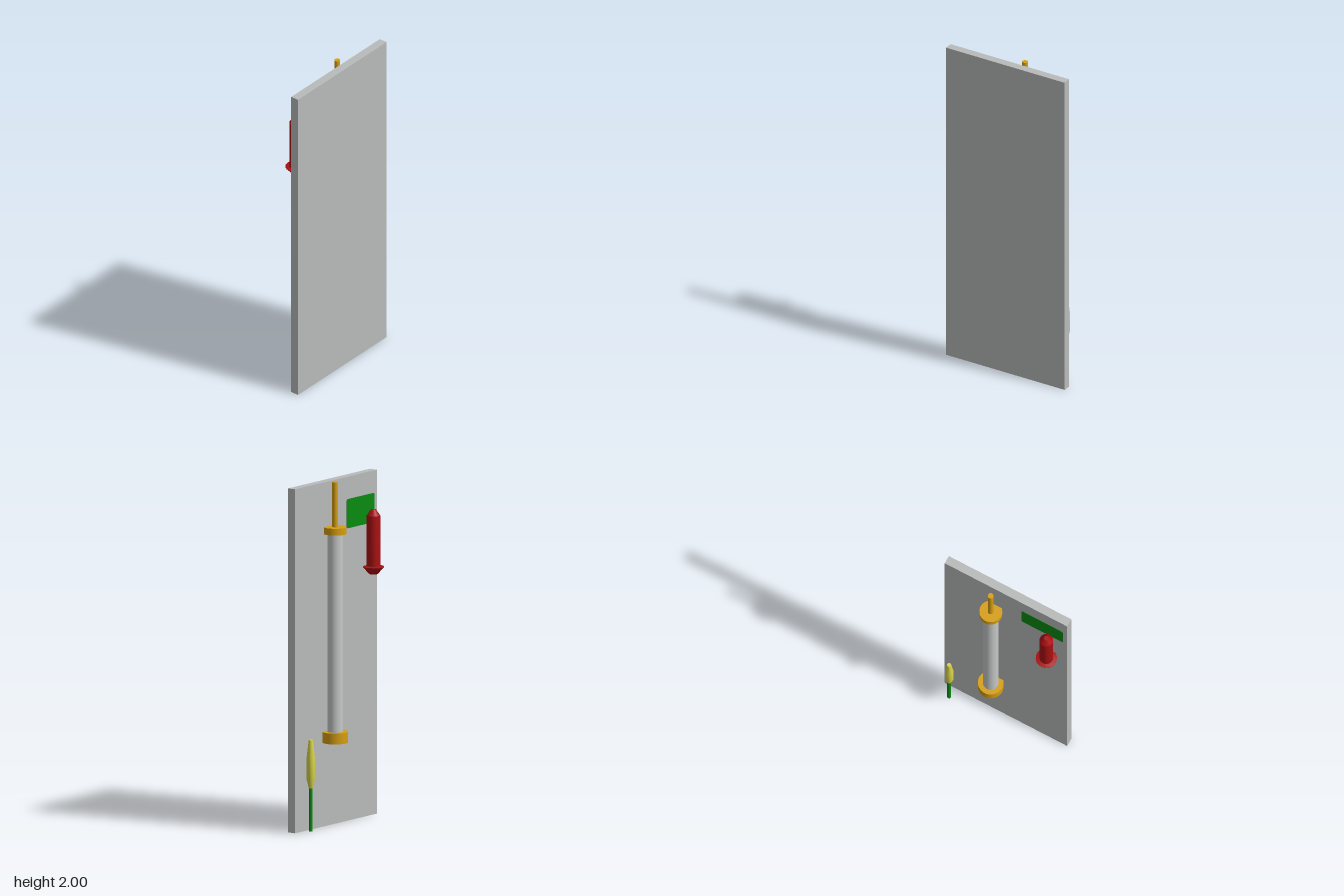
import * as THREE from 'three';
import { toCreasedNormals } from 'three/addons/utils/BufferGeometryUtils.js';

const paint = (name, color) => {
  const m = new THREE.MeshStandardMaterial({ color });
  m.name = name;
  return m;
};

export function createModel() {
  const model = new THREE.Group();
  const boardGrey = paint('board grey', 0xb9bbba);
  const tubeGrey = paint('tube grey', 0xc6c8c8);
  const gold = paint('gold', 0xd69e12);
  const red = paint('red', 0xaa1012);
  const yellow = paint('yellow', 0xd6d248);
  const green = paint('green', 0x0a8a12);

  const add = (parent, name, geometry, material, x = 0, y = 0, z = 0) => {
    const mesh = new THREE.Mesh(geometry, material);
    mesh.name = name;
    mesh.position.set(x, y, z);
    parent.add(mesh);
    return mesh;
  };
  const group = (name, x, z) => {
    const g = new THREE.Group();
    g.name = name;
    g.position.set(x, 0, z);
    model.add(g);
    return g;
  };
  // Upright cylinder between two heights
  const post = (parent, name, r, y0, y1, material) =>
    add(parent, name, new THREE.CylinderGeometry(r, r, y1 - y0, 40), material, 0, (y0 + y1) / 2);
  // Turned solid from [radius, height] pairs, listed bottom to top
  const turned = (parent, name, profile, material) => {
    const points = profile.map(([r, y]) => new THREE.Vector2(r, y));
    add(parent, name, toCreasedNormals(new THREE.LatheGeometry(points, 32), 0.4), material);
  };

  // Backing board
  add(model, 'board', new THREE.BoxGeometry(0.8, 2, 0.05), boardGrey, 0, 1, 0.06);

  // Long tube with end caps and a plunger rod
  const tube = group('tubeAssembly', 0.073, -0.012);
  post(tube, 'tube', 0.045, 0.54, 1.71, tubeGrey);
  post(tube, 'bottomCap', 0.074, 0.487, 0.55, gold);
  post(tube, 'topCap', 0.066, 1.70, 1.74, gold);
  post(tube, 'rod', 0.017, 1.74, 2, gold);

  // Red plug with a conical head and a flared foot
  const plug = group('plug', -0.293, -0.017);
  turned(plug, 'plugBody', [
    [0, 1.412], [0.025, 1.415], [0.061, 1.455], [0.061, 1.458], [0.039, 1.462],
    [0.039, 1.755], [0.014, 1.79], [0, 1.79],
  ], red);

  // Yellow handle on a thin green stick
  const tool = group('tool', 0.335, -0.03);
  turned(tool, 'handle', [
    [0, 0.26], [0.012, 0.26], [0.025, 0.315], [0.025, 0.43], [0.012, 0.54], [0, 0.54],
  ], yellow);
  post(tool, 'stick', 0.011, 0.01, 0.265, green);

  // Green rounded label on the board
  const w = 0.135, h = 0.085, r = 0.012;
  const outline = new THREE.Shape();
  outline.absarc(w - r, h - r, r, 0, Math.PI / 2);
  outline.absarc(-w + r, h - r, r, Math.PI / 2, Math.PI);
  outline.absarc(-w + r, -h + r, r, Math.PI, Math.PI * 1.5);
  outline.absarc(w - r, -h + r, r, Math.PI * 1.5, Math.PI * 2);
  add(model, 'label', new THREE.ExtrudeGeometry(outline, { depth: 0.004, bevelEnabled: false }),
    green, -0.238, 1.785, 0.033);

  return model;
}
